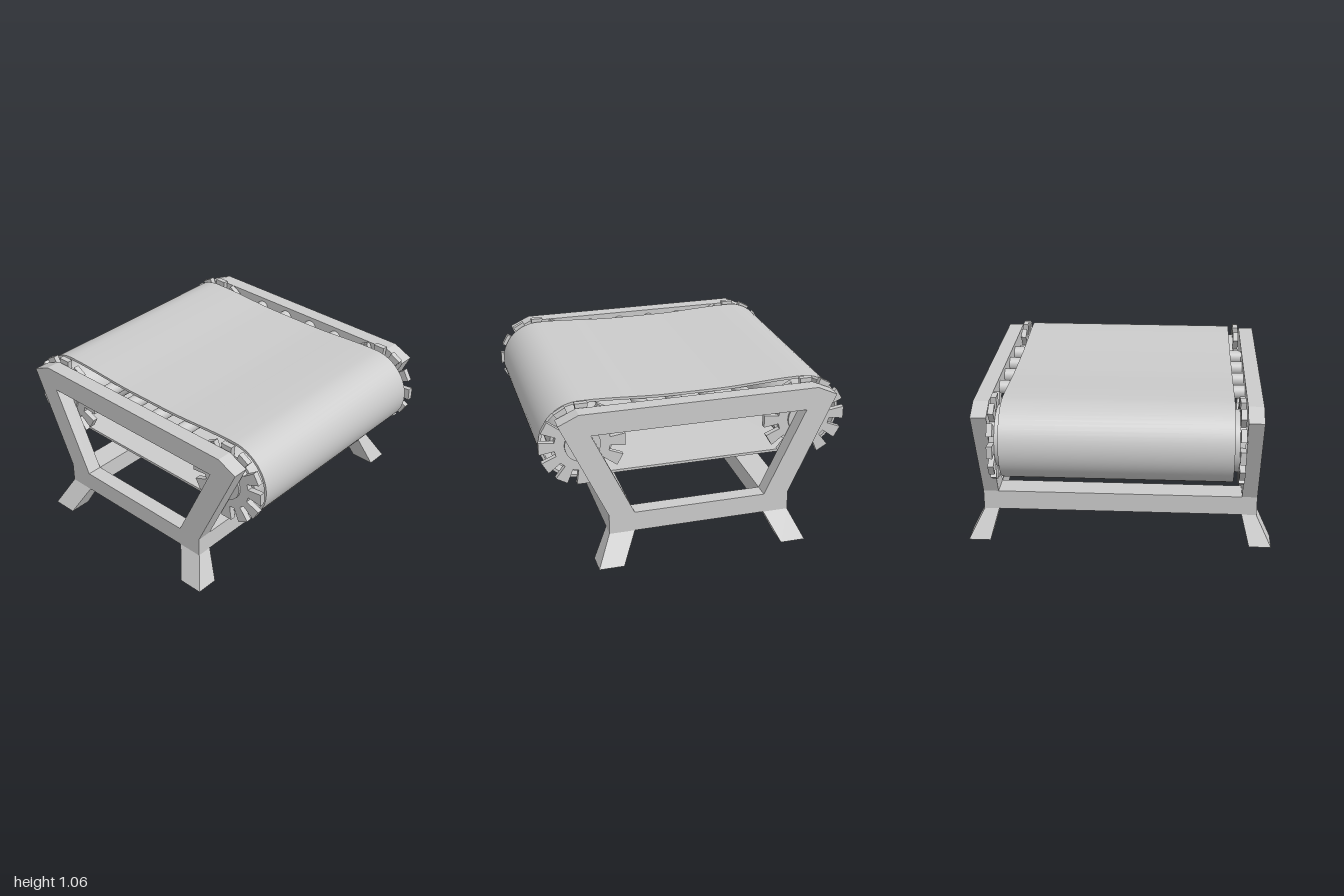
import * as THREE from 'three';
import { toCreasedNormals } from 'three/addons/utils/BufferGeometryUtils.js';

const mat = new THREE.MeshStandardMaterial({ color: 0xcccccc });
const AXLE_Z = 0.727, AXLE_Y = 0.783;

const toShape = (pts, Type = THREE.Shape) => new Type(pts.map(p => new THREE.Vector2(p[0], p[1])));

// Extrude a (z, y) outline along x, centred on x = 0
function sideExtrude(outline, hole, width, crease = 0.5) {
  const shape = toShape(outline);
  if (hole) shape.holes.push(toShape(hole, THREE.Path));
  const g = new THREE.ExtrudeGeometry(shape, { depth: width, bevelEnabled: false });
  g.translate(0, 0, -width / 2).rotateY(-Math.PI / 2);
  return toCreasedNormals(g, crease);
}

// Closed belt loop: two half circles and a top run that sags onto the rods
function beltLoop(inset) {
  const r = 0.26 - inset, pts = [], n = 28;
  const arc = (cz, start) => {
    for (let i = 0; i <= n; i++) {
      const a = start + Math.PI * i / n;
      pts.push([cz + r * Math.cos(a), AXLE_Y + r * Math.sin(a)]);
    }
  };
  arc(AXLE_Z, -Math.PI / 2);
  for (let i = 1; i < 32; i++) {
    const z = AXLE_Z * (1 - i / 16);
    const t = THREE.MathUtils.smoothstep(Math.abs(z), 0.15, 0.68);
    pts.push([z, AXLE_Y + r - 0.021 * (1 - t)]);
  }
  arc(-AXLE_Z, Math.PI / 2);
  return pts;
}

// Sprocket outline with teeth that widen toward the tip
function gearOutline(teeth = 12, root = 0.175, tip = 0.272) {
  const pts = [];
  for (let i = 0; i < teeth; i++) {
    const a = i * 2 * Math.PI / teeth, c = Math.cos(a), s = Math.sin(a);
    for (const [r, w] of [[root, -0.028], [tip, -0.041], [tip, 0.041], [root, 0.028]])
      pts.push([r * c - w * s, r * s + w * c]);
  }
  return pts;
}

// Leg splaying outward, as a box with its lower corners moved
function legGeometry(sx, sz) {
  const g = new THREE.BoxGeometry(1, 1, 1), p = g.attributes.position;
  for (let i = 0; i < p.count; i++) {
    const top = p.getY(i) > 0;
    const outX = p.getX(i) * sx > 0, outZ = p.getZ(i) * sz > 0;
    const x = top ? (outX ? 0.9 : 0.803) : (outX ? 1 : 0.855);
    const z = top ? (outZ ? 0.595 : 0.43) : (outZ ? 0.687 : 0.525);
    p.setXYZ(i, sx * x, top ? 0.19 : 0, sz * z);
  }
  const flat = g.toNonIndexed();
  flat.computeVertexNormals();
  return flat;
}

export function createModel() {
  const model = new THREE.Group();
  model.name = 'conveyor';
  const add = (name, geometry, x = 0, y = 0, z = 0) => {
    const m = new THREE.Mesh(geometry, mat);
    m.name = name;
    m.position.set(x, y, z);
    model.add(m);
    return m;
  };
  const rod = (r, length, sides) => new THREE.CylinderGeometry(r, r, length, sides).rotateZ(Math.PI / 2);

  // Side frames
  const frame = sideExtrude(
    [[-0.595, 0.19], [0.595, 0.19], [0.595, 0.32], [0.895, 0.97], [0.765, 1.03],
      [-0.765, 1.03], [-0.895, 0.97], [-0.595, 0.32]],
    [[-0.43, 0.32], [0.43, 0.32], [0.695, 0.885], [-0.695, 0.885]], 0.1, 0.1);
  for (const s of [-1, 1]) add('sideFrame', frame, s * 0.852);

  // Cross beams and legs
  for (const sz of [-1, 1]) {
    add('crossBeam', new THREE.BoxGeometry(1.606, 0.13, 0.165), 0, 0.255, sz * 0.5125);
    for (const sx of [-1, 1]) add('leg', legGeometry(sx, sz));
  }

  // End drums with axles and sprockets
  const gear = sideExtrude(gearOutline(), null, 0.036, 0.1);
  for (const sz of [-1, 1]) {
    add('drum', rod(0.197, 1.514, 48), 0, AXLE_Y, sz * AXLE_Z);
    add('axle', rod(0.113, 1.61, 32), 0, AXLE_Y, sz * AXLE_Z);
    for (const sx of [-1, 1]) add('sprocket', gear, sx * 0.774, AXLE_Y, sz * AXLE_Z);
  }

  // Support rods under the top run of the belt
  for (let i = 0; i < 4; i++) add('supportRod', rod(0.045, 1.61, 24), 0, 0.958, -0.34 + 0.222 * i);

  // Belt
  add('belt', sideExtrude(beltLoop(0), beltLoop(0.017), 1.446));

  return model;
}
